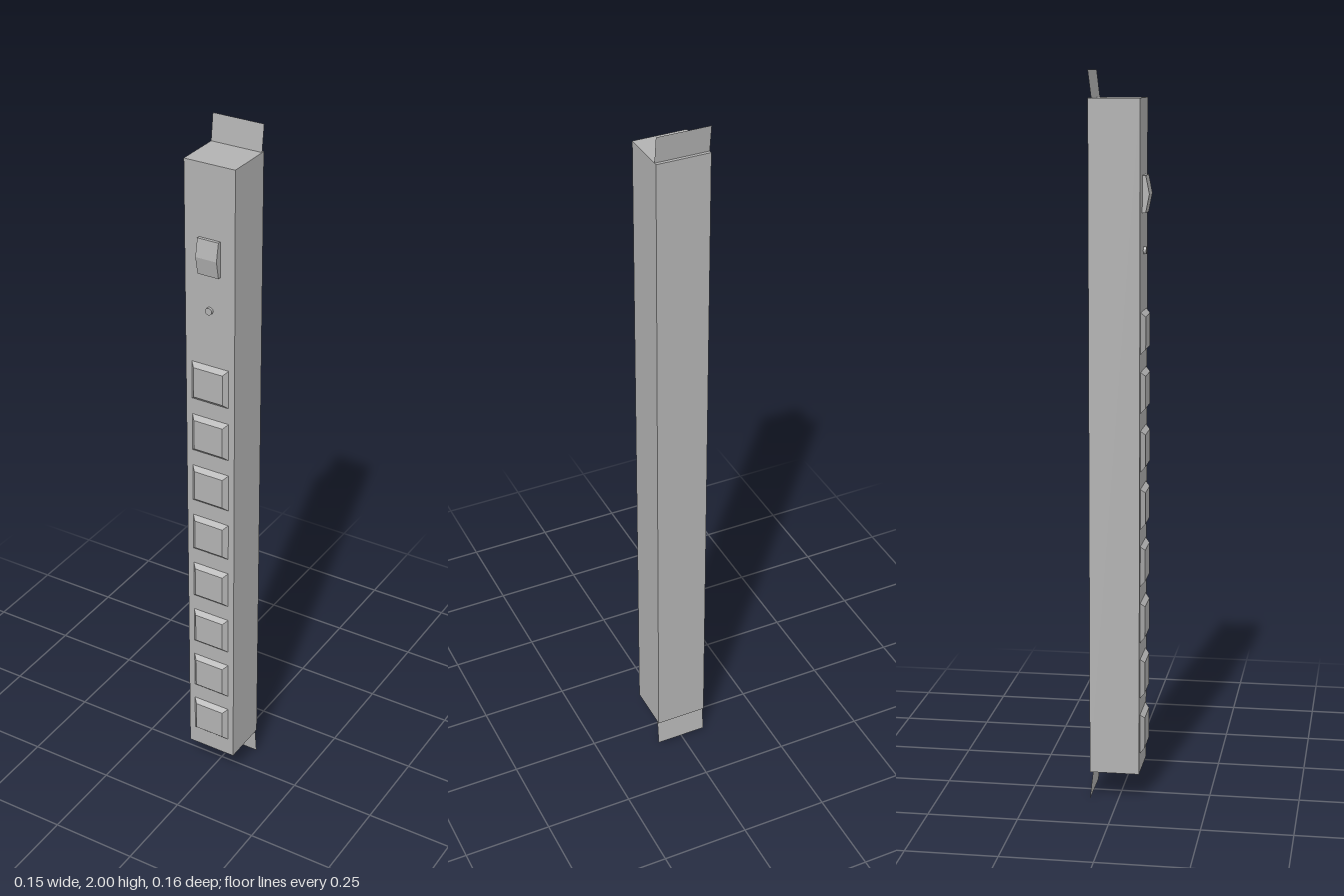
import * as THREE from 'three';

const FRONT = 0.059, BACK = -0.079, HALF = 0.074, LOW = 0.079, HIGH = 1.928;

export function createModel() {
  const grey = new THREE.MeshStandardMaterial({ color: 0xb2b2b2, flatShading: true });
  grey.name = 'grey metal';
  const sheet = grey.clone();
  sheet.name = 'grey sheet';
  sheet.side = THREE.DoubleSide;

  const model = new THREE.Group();
  model.name = 'powerStrip';
  const add = (name, geometry, material = grey) => {
    const mesh = new THREE.Mesh(geometry, material);
    mesh.name = name;
    model.add(mesh);
    return mesh;
  };

  // Long housing
  add('housing', new THREE.BoxGeometry(HALF * 2, HIGH - LOW, FRONT - BACK))
    .position.set(0, (LOW + HIGH) / 2, (FRONT + BACK) / 2);

  // Thin mounting tabs at both ends, leaning slightly backwards
  const tab = (name, base, tip) => {
    const g = new THREE.PlaneGeometry(HALF * 2, Math.abs(tip - base));
    const p = g.attributes.position;
    const mid = (base + tip) / 2;
    for (let i = 0; i < p.count; i++) {
      const atTip = (p.getY(i) > 0) === (tip > base);
      p.setZ(i, atTip ? BACK : BACK + 0.009);
    }
    g.computeVertexNormals();
    add(name, g, sheet).position.y = mid;
  };
  tab('topTab', HIGH, 2);
  tab('bottomTab', LOW, 0);

  // Eight raised sockets with bevelled edges
  const depth = 0.012;
  const socket = new THREE.BoxGeometry(0.112, 0.112, depth);
  const sp = socket.attributes.position;
  for (let i = 0; i < sp.count; i++) {
    if (sp.getZ(i) > 0) sp.setXY(i, Math.sign(sp.getX(i)) * 0.044, Math.sign(sp.getY(i)) * 0.044);
  }
  socket.computeVertexNormals();
  for (let i = 0; i < 8; i++) {
    add('socket' + (i + 1), socket).position.set(0, 0.19 + i * 0.16, FRONT + depth / 2);
  }

  // Rocker switch: side profile (z, y) extruded across x
  const profile = new THREE.Shape([
    [FRONT, 1.628], [0.068, 1.628], [0.078, 1.678], [0.068, 1.727], [FRONT, 1.727],
  ].map(([z, y]) => new THREE.Vector2(-z, y)));
  const rocker = new THREE.ExtrudeGeometry(profile, { depth: 0.062, bevelEnabled: false });
  rocker.translate(0, 0, -0.031);
  rocker.rotateY(Math.PI / 2);
  add('rockerSwitch', rocker);

  // Small indicator lamp
  const lamp = new THREE.CylinderGeometry(0.01, 0.01, 0.008, 16);
  lamp.rotateX(Math.PI / 2);
  add('indicatorLamp', lamp).position.set(0, 1.527, FRONT + 0.004);

  return model;
}
